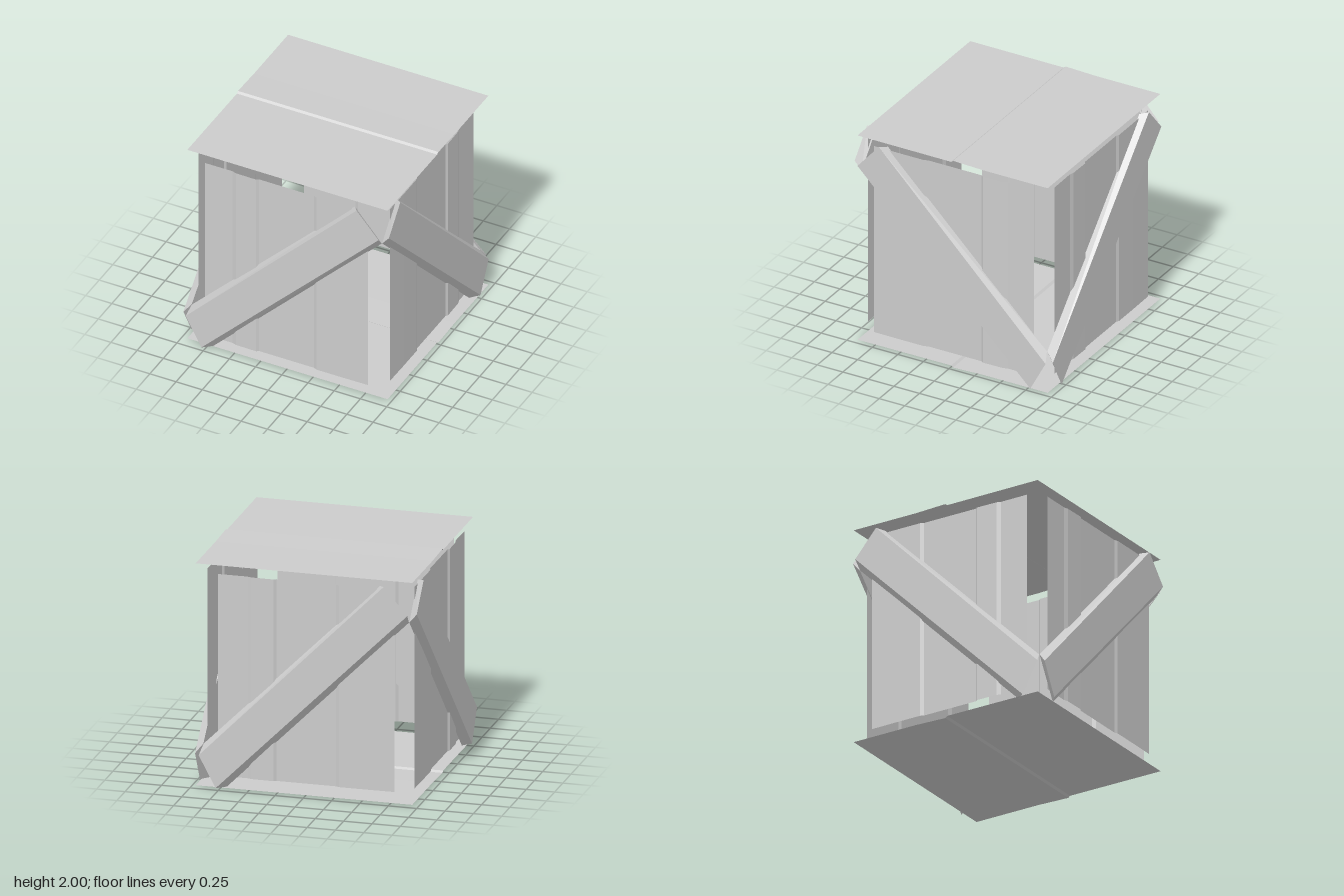
import * as THREE from 'three';

const material = new THREE.MeshStandardMaterial({ color: 0xcccccc, flatShading: true, side: THREE.DoubleSide });

// Flat-shaded mesh from quads; place maps each corner, flip reverses winding for mirrored parts
function quadMesh(name, quads, place, flip = false) {
  const positions = [];
  for (const quad of quads) {
    const c = quad.map(p => place(...p));
    if (flip) c.reverse();
    for (const i of [0, 1, 2, 0, 2, 3]) positions.push(...c[i]);
  }
  const geometry = new THREE.BufferGeometry();
  geometry.setAttribute('position', new THREE.Float32BufferAttribute(positions, 3));
  geometry.computeVertexNormals();
  const mesh = new THREE.Mesh(geometry, material);
  mesh.name = name;
  return mesh;
}

// Thin stepped board: profile of [across, height] swept from v0 to v1
function sheetQuads(profile, v0, v1) {
  const quads = [];
  for (let i = 0; i + 1 < profile.length; i++) {
    const [a, ha] = profile[i], [b, hb] = profile[i + 1];
    quads.push([[a, v0, ha], [b, v0, hb], [b, v1, hb], [a, v1, ha]]);
  }
  return quads;
}

// Diagonal beam: narrower outer face, wider inner face, slanted ends
function braceQuads() {
  const outer = [[-0.78, 0.01], [0.91, 1.7], [0.7, 1.94], [-0.93, 0.29]].map(p => [...p, 0.975]);
  const inner = [[-0.7, 0.01], [0.905, 1.62], [0.65, 1.925], [-0.905, 0.375]].map(p => [...p, 0.908]);
  const quads = [outer, [...inner].reverse()];
  for (let i = 0; i < 4; i++) {
    const j = (i + 1) % 4;
    quads.push([inner[i], inner[j], outer[j], outer[i]]);
  }
  return quads;
}

export function createModel() {
  const model = new THREE.Group();
  model.name = 'crate';

  // Uneven planks of one side wall
  const wall = sheetQuads([
    [-0.78, 0.907], [-0.52, 0.905], [-0.48, 0.918], [-0.285, 0.921], [-0.265, 0.906],
    [0.26, 0.906], [0.29, 0.92], [0.53, 0.92], [0.78, 0.917],
  ], 0.1, 1.9);
  const brace = braceQuads();

  // Four sides: neighbours mirror each other, opposites are turned by half
  const sides = [
    ['front', (x, y, z) => [x, y, z], false],
    ['left', (x, y, z) => [z, y, x], true],
    ['back', (x, y, z) => [-x, y, -z], false],
    ['right', (x, y, z) => [-z, y, -x], true],
  ];
  for (const [side, place, flip] of sides) {
    const group = new THREE.Group();
    group.name = side + 'Side';
    group.add(quadMesh(side + 'Panel', wall, place, flip));
    group.add(quadMesh(side + 'Brace', brace, place, flip));
    model.add(group);
  }

  // Top and bottom boards with a step along the middle
  const board = sheetQuads([
    [-0.945, 1.99], [-0.32, 1.99], [-0.02, 2], [0, 1.985], [0.915, 1.988],
  ], -0.945, 0.965);
  model.add(quadMesh('topPanel', board, (z, x, y) => [x, y, z]));
  model.add(quadMesh('bottomPanel', board, (z, x, y) => [x, 2 - y, z], true));
  return model;
}
